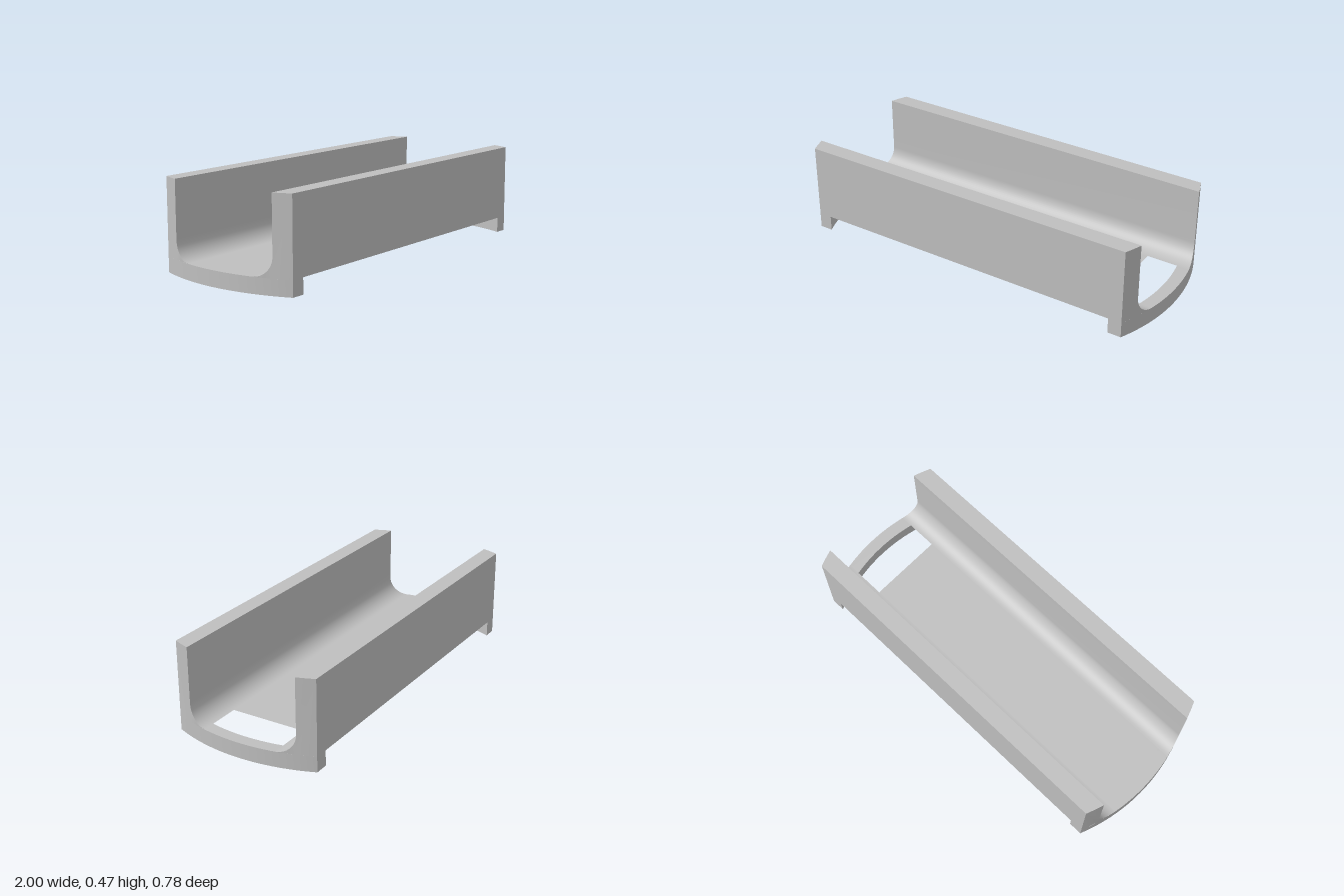
import * as THREE from 'three';
import { toCreasedNormals } from 'three/addons/utils/BufferGeometryUtils.js';

const HALF_WIDTH = 0.39, INNER = 0.3, FLAT = 0.2; // z positions across the channel
const TOP = 0.47, FLOOR = 0.08;
const END_R = 1, LIP_R = 0.935; // end faces and lip insides are concentric arcs

export function createModel() {
  const model = new THREE.Group();
  model.name = 'channel';
  const grey = new THREE.MeshStandardMaterial({ color: 0xbfbfbf });
  grey.name = 'grey';
  const greySheet = new THREE.MeshStandardMaterial({ color: 0xbfbfbf, side: THREE.DoubleSide });
  greySheet.name = 'grey';

  const add = (name, geometry, material = grey) => {
    const mesh = new THREE.Mesh(geometry, material);
    mesh.name = name;
    model.add(mesh);
    return mesh;
  };

  // Wall with a rounded inner foot, drawn in z and y, extruded along x
  const profile = new THREE.Shape();
  profile.moveTo(FLAT, FLOOR);
  for (const z of [0.25, 0.3, 0.35, HALF_WIDTH]) profile.lineTo(z, FLOOR);
  profile.lineTo(HALF_WIDTH, TOP);
  profile.lineTo(0.345, TOP);
  profile.lineTo(INNER, TOP);
  profile.lineTo(INNER, FLOOR + 0.1);
  profile.absarc(FLAT, FLOOR + 0.1, INNER - FLAT, 0, -Math.PI / 2, true);
  let wall = new THREE.ExtrudeGeometry(profile, { depth: 2, bevelEnabled: false, curveSegments: 8 });
  wall.translate(0, 0, -1);
  wall.rotateY(-Math.PI / 2);
  // Bend the flat ends onto the end arc
  const p = wall.attributes.position;
  for (let i = 0; i < p.count; i++) {
    p.setX(i, p.getX(i) * Math.sqrt(END_R ** 2 - p.getZ(i) ** 2));
  }
  wall = toCreasedNormals(wall, 0.5);
  add('frontWall', wall);
  add('backWall', wall).rotation.y = Math.PI;

  // Curved lips under both ends
  const a = Math.asin(HALF_WIDTH / END_R), b = Math.asin(HALF_WIDTH / LIP_R);
  const lipShape = new THREE.Shape();
  lipShape.absarc(0, 0, END_R, -a, a, false);
  lipShape.absarc(0, 0, LIP_R, b, -b, true);
  let lip = new THREE.ExtrudeGeometry(lipShape, { depth: FLOOR, bevelEnabled: false, curveSegments: 20 });
  lip.rotateX(-Math.PI / 2);
  lip = toCreasedNormals(lip, 0.5);
  add('leftLip', lip);
  add('rightLip', lip).rotation.y = Math.PI;

  // Thin floor, stopping short of the left lip to leave an opening
  const c = Math.asin(FLAT / LIP_R);
  const floorShape = new THREE.Shape();
  floorShape.moveTo(0.75, -FLAT);
  floorShape.lineTo(0.75, FLAT);
  floorShape.absarc(0, 0, LIP_R, Math.PI - c, Math.PI + c, false);
  const floor = new THREE.ShapeGeometry(floorShape, 16);
  floor.rotateX(-Math.PI / 2);
  floor.translate(0, FLOOR, 0);
  add('floor', floor, greySheet);

  return model;
}
